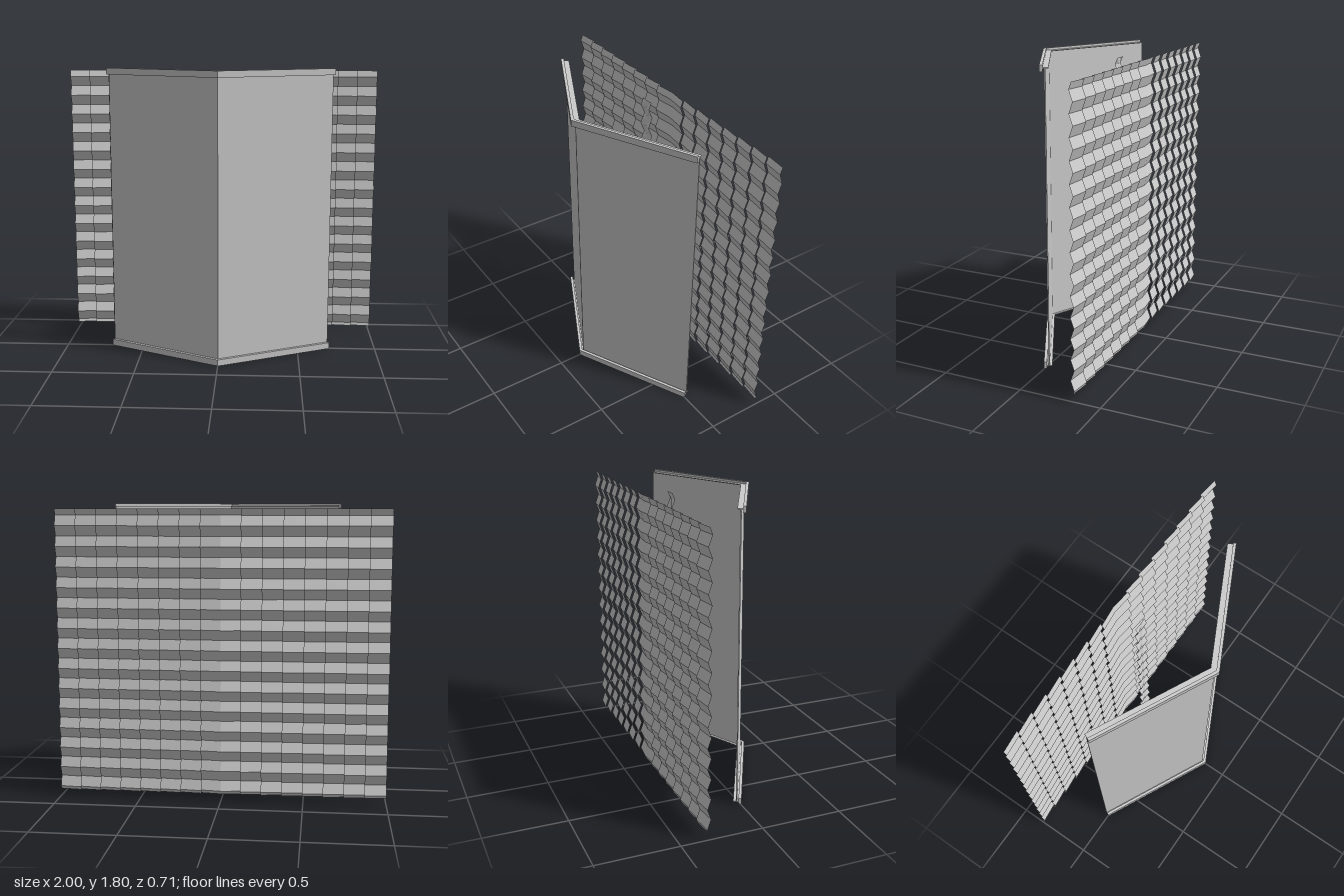
import * as THREE from 'three';

const grey = new THREE.MeshStandardMaterial({ color: 0xcccccc, flatShading: true, side: THREE.DoubleSide });

function addMesh(group, name, geometry) {
  const mesh = new THREE.Mesh(geometry, grey);
  mesh.name = name;
  group.add(mesh);
  return mesh;
}

// V-shaped wall in plan, between two depths behind the outer line, from y0 to y1
const APEX_Z = 0.355, END_X = 0.707, END_Z = 0.004;
function vWall(depth0, depth1, y0, y1) {
  const length = Math.hypot(END_X, APEX_Z - END_Z);
  const nx = (APEX_Z - END_Z) / length, nz = END_X / length;
  const apex = d => [0, APEX_Z - d / nz];
  const end = (d, s) => [s * (END_X - d * nx), END_Z - d * nz];
  const points = [
    end(depth0, -1), end(depth1, -1), apex(depth1),
    end(depth1, 1), end(depth0, 1), apex(depth0),
  ];
  const shape = new THREE.Shape(points.map(([x, z]) => new THREE.Vector2(x, -z)));
  const geometry = new THREE.ExtrudeGeometry(shape, { depth: y1 - y0, bevelEnabled: false });
  geometry.rotateX(-Math.PI / 2);
  return geometry.translate(0, y0, 0);
}

// Heights of the pleat folds, with how far forward each fold lies (-1 to 1)
const PLEAT = 0.0617, TOP = 1.77, BOTTOM = 0.045;
const folds = [[BOTTOM, -0.4]];
for (let k = 27; k >= 0; k--) folds.push([1.73 - k * PLEAT, k % 2 ? -1 : 1]);
folds.push([TOP, -0.3]);

// Pleated sheet: columns give x, base z and pleat depth
function pleatedSheet(columns) {
  const positions = [], indices = [];
  const n = columns.length;
  folds.forEach(([y, f], row) => {
    for (const [x, z, depth] of columns) positions.push(x, y, z + f * depth);
    if (row === 0) return;
    for (let i = 0; i < n - 1; i++) {
      const a = (row - 1) * n + i, b = a + 1, c = a + n, d = c + 1;
      indices.push(a, b, d, a, d, c);
    }
  });
  const geometry = new THREE.BufferGeometry();
  geometry.setAttribute('position', new THREE.Float32BufferAttribute(positions, 3));
  geometry.setIndex(indices);
  geometry.computeVertexNormals();
  return geometry;
}

export function createModel() {
  const model = new THREE.Group();
  model.name = 'pleatedScreen';

  // Folded front panel
  addMesh(model, 'frontPanel', vWall(0.026, 0.034, 0.015, 1.785));

  // Top and bottom rails: a front lip with a thin flange behind it
  for (const [name, y, flangeY] of [['bottomRail', 0, 0.014], ['topRail', 1.76, 1.781]]) {
    const rail = new THREE.Group();
    rail.name = name;
    addMesh(rail, 'lip', vWall(0, 0.018, y, y + 0.04));
    addMesh(rail, 'flange', vWall(0.018, 0.05, flangeY, flangeY + 0.005));
    model.add(rail);
  }

  // Narrow pleated strip behind the panel, pinched along its middle
  addMesh(model, 'centreStrip', pleatedSheet([[-0.042, -0.163, 0.013], [0, -0.163, 0.003], [0.042, -0.163, 0.013]]));

  // Back wall of slightly tilted, overlapping pleated strips
  const wall = new THREE.Group();
  wall.name = 'backWall';
  const width = 0.125;
  for (const side of [-1, 1]) {
    for (let i = 0; i < 8; i++) {
      const inner = [side * Math.max(0, i * width - 0.006), -0.344, 0.011];
      const outer = [side * (i + 1) * width, -0.33, 0.011];
      addMesh(wall, 'wallStrip', pleatedSheet(side > 0 ? [inner, outer] : [outer, inner]));
    }
  }
  model.add(wall);

  return model;
}
